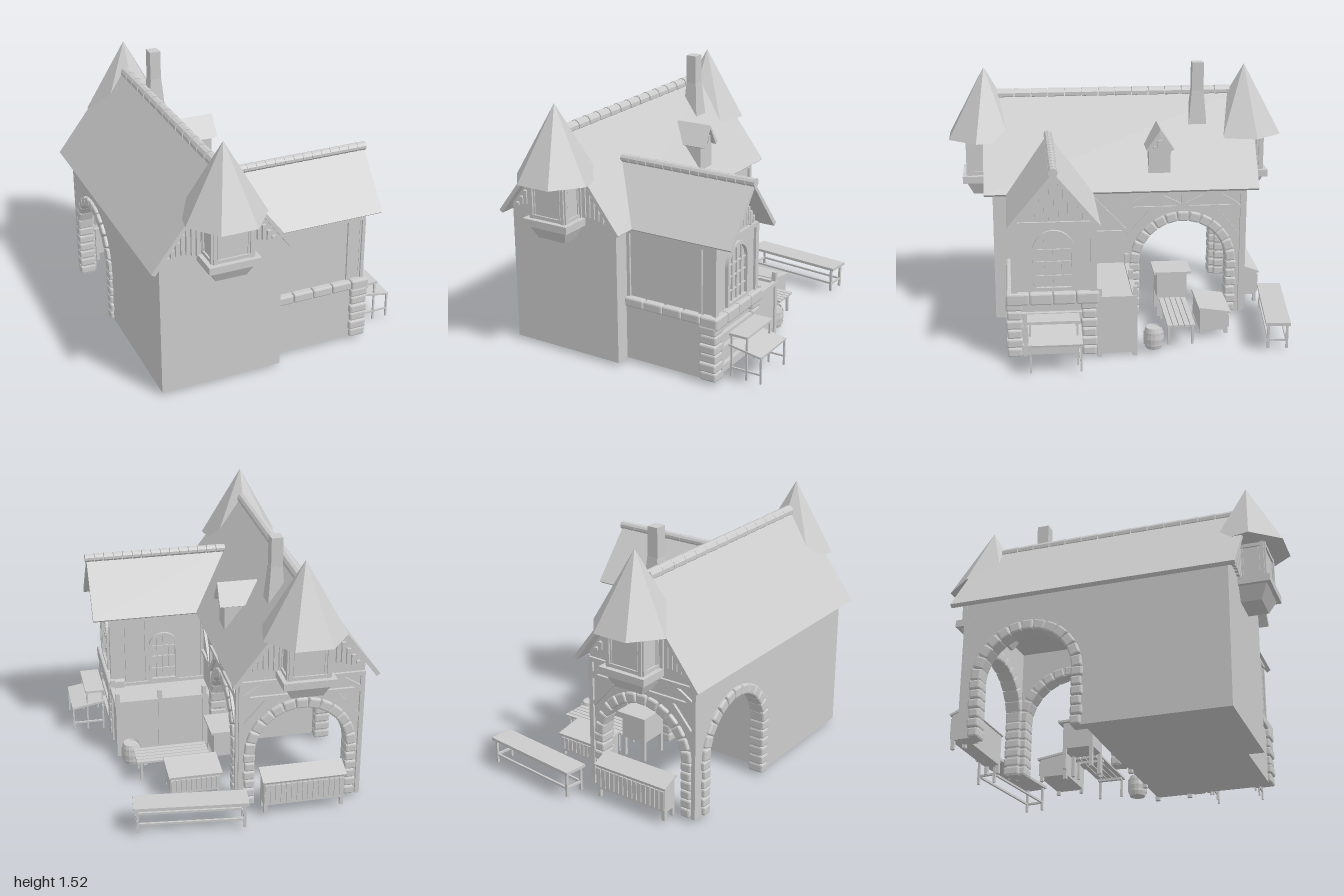
import * as THREE from 'three';
import { RoundedBoxGeometry } from 'three/addons/geometries/RoundedBoxGeometry.js';

const mat = new THREE.MeshStandardMaterial({ color: 0xcccccc, flatShading: true, side: THREE.DoubleSide });

function add(parent, name, geo, x = 0, y = 0, z = 0) {
  const m = new THREE.Mesh(geo, mat);
  m.name = name;
  m.position.set(x, y, z);
  parent.add(m);
  return m;
}
function group(parent, name, x = 0, y = 0, z = 0, ry = 0) {
  const g = new THREE.Group();
  g.name = name;
  g.position.set(x, y, z);
  g.rotation.y = ry;
  parent.add(g);
  return g;
}
// Box given by its limits
const box = (p, name, x0, x1, y0, y1, z0, z1) =>
  add(p, name, new THREE.BoxGeometry(x1 - x0, y1 - y0, z1 - z0), (x0 + x1) / 2, (y0 + y1) / 2, (z0 + z1) / 2);
const stone = (p, x0, x1, y0, y1, z0, z1) =>
  add(p, 'stone', new RoundedBoxGeometry(x1 - x0, y1 - y0, z1 - z0, 1, 0.01), (x0 + x1) / 2, (y0 + y1) / 2, (z0 + z1) / 2);
// Timber lying on a wall, from one point to another in the wall plane
function timber(p, x0, y0, x1, y1, w = 0.025, d = 0.03) {
  const m = add(p, 'timber', new THREE.BoxGeometry(Math.hypot(x1 - x0, y1 - y0), w, d), (x0 + x1) / 2, (y0 + y1) / 2, 0);
  m.rotation.z = Math.atan2(y1 - y0, x1 - x0);
}
// Box whose corners above (or below) the middle are scaled
function taper(p, name, w, h, d, sTop, sBot, x, y, z) {
  const geo = new THREE.BoxGeometry(w, h, d), a = geo.attributes.position;
  for (let i = 0; i < a.count; i++) {
    const s = a.getY(i) > 0 ? sTop : sBot;
    a.setX(i, a.getX(i) * s);
    a.setZ(i, a.getZ(i) * s);
  }
  return add(p, name, geo, x, y, z);
}
const poly = pts => new THREE.Shape(pts.map(q => new THREE.Vector2(...q)));
const extrude = (shape, depth) => new THREE.ExtrudeGeometry(shape, { depth, bevelEnabled: false, curveSegments: 10 });
// Gabled roof running along local z
const gableRoof = (p, name, h, eave, ridge, z0, z1, t = 0.03) => add(p, name,
  extrude(poly([[-h, eave], [0, ridge], [h, eave], [h - 0.02, eave - t / 2], [0, ridge - t], [-h + 0.02, eave - t / 2]]), z1 - z0), 0, 0, z0);
// Row of short round tiles along local z
function ridgeTiles(p, n, y, r, z0, z1) {
  const step = (z1 - z0) / n;
  for (let i = 0; i < n; i++) {
    const geo = new THREE.CylinderGeometry(r, r * 0.92, step * 0.95, 10);
    add(p, 'ridgeTile', geo.rotateX(Math.PI / 2), 0, y, z0 + (i + 0.5) * step);
  }
}
// Uneven upright boards that fill a gable
function gableBoards(p, half, base, apex, n) {
  const w = 2 * half / n;
  for (let i = 0; i < n; i++) {
    const x = -half + (i + 0.5) * w;
    const top = base + (apex - base) * (1 - (Math.abs(x) + w * 0.4) / half);
    const low = base + 0.02 + 0.025 * Math.abs(Math.sin(i * 2.7));
    if (top > low + 0.01) box(p, 'gableBoard', x - w * 0.38, x + w * 0.38, low, top, 0, 0.018);
  }
}
// Outline with a round head
function archPath(C, c, r, y0, spring) {
  const s = new C();
  s.moveTo(c - r, y0);
  s.lineTo(c - r, spring);
  s.absarc(c, spring, r, Math.PI, 0, true);
  s.lineTo(c + r, y0);
  s.closePath();
  return s;
}
// Wall with an open archway edged with stones; outside is local +z
function archWall(p, c, x0, x1, beams) {
  const r = 0.265, spring = 0.345, s = new THREE.Shape();
  s.moveTo(x0, 0.02);
  s.lineTo(c - r, 0.02);
  s.lineTo(c - r, spring);
  s.absarc(c, spring, r, Math.PI, 0, true);
  s.lineTo(c + r, 0.02);
  s.lineTo(x1, 0.02);
  s.lineTo(x1, 0.8);
  s.lineTo(x0, 0.8);
  add(p, 'archWall', extrude(s, 0.07), 0, 0, -0.07);
  for (const k of [-1, 1]) for (let i = 0; i < 6; i++) {
    const a = c + k * (r - 0.004), b = c + k * (r + 0.055 + 0.008 * (i % 2)), y = 0.02 + i * 0.055;
    stone(p, Math.min(a, b), Math.max(a, b), y, y + 0.053, -0.075, 0.02);
  }
  const n = 13;
  for (let i = 0; i < n; i++) {
    const a = Math.PI * (i + 0.5) / n;
    const m = add(p, 'archStone', new RoundedBoxGeometry(0.06, 0.068, 0.095, 1, 0.01),
      c + Math.cos(a) * (r + 0.027), spring + Math.sin(a) * (r + 0.027), -0.0275);
    m.rotation.z = a;
  }
  if (!beams) return;
  timber(p, x0, 0.785, x1, 0.785);
  timber(p, x0, 0.69, x1, 0.69);
  for (const x of [x0 + 0.012, c, x1 - 0.012]) timber(p, x, x === c ? 0.69 : 0.02, x, 0.79);
  for (const k of [-1, 1]) {
    timber(p, c, 0.7, c + k * 0.17, 0.78);
    timber(p, c + k * 0.2, 0.78, c + k * 0.33, 0.7);
    timber(p, c + k * 0.33, 0.52, c + k * 0.19, 0.68);
  }
}
function archWindow(p, c, r, y0, spring) {
  const frame = archPath(THREE.Shape, c, r, y0, spring);
  frame.holes.push(archPath(THREE.Path, c, r - 0.018, y0 + 0.018, spring));
  add(p, 'windowFrame', extrude(frame, 0.02));
  for (const k of [-1, 0, 1]) box(p, 'mullion', c + k * r * 0.42 - 0.004, c + k * r * 0.42 + 0.004, y0, spring + r * (k ? 0.82 : 0.95), 0, 0.01);
  for (const t of [0.35, 0.7, 1]) {
    const y = y0 + (spring - y0) * t;
    box(p, 'mullion', c - r + 0.01, c + r - 0.01, y - 0.004, y + 0.004, 0, 0.01);
  }
}
function legs(p, x0, x1, z0, z1, h, w = 0.014) {
  for (const x of [x0, x1 - w]) for (const z of [z0, z1 - w]) box(p, 'leg', x, x + w, 0.02, h, z, z + w);
}
// Turret with bay window, at the middle of an end wall
function turret(p) {
  add(p, 'turretRoof', new THREE.CylinderGeometry(0, 0.24, 0.42, 7).rotateY(Math.PI / 7), -0.01, 1.28, 0.037);
  box(p, 'bayBody', -0.115, 0.115, 0.84, 1.075, -0.05, 0.145);
  box(p, 'baySill', -0.148, 0.148, 0.81, 0.852, -0.05, 0.178);
  taper(p, 'bayCorbel', 0.25, 0.08, 0.28, 1, 0.72, 0, 0.77, 0.015);
  for (const [x, z, w, ry] of [[0, 0.145, 0.23, 0], [0.115, 0.07, 0.15, Math.PI / 2], [-0.115, 0.07, 0.15, -Math.PI / 2]]) {
    const g = group(p, 'bayWindow', x, 0, z, ry), h = w / 2;
    for (const k of [-1, 1]) {
      timber(g, k * (h - 0.01), 0.85, k * (h - 0.01), 1.07, 0.02, 0.02);
      timber(g, k * (h - 0.03), 0.875, k * (h - 0.03), 1.045, 0.008, 0.012);
    }
    for (const y of [0.865, 1.055]) timber(g, -h, y, h, y, 0.02, 0.02);
  }
}

export function createModel() {
  const root = new THREE.Group();
  root.name = 'timberHouse';

  // Main house: solid half, open arched half, gable prism
  box(root, 'mainBody', -0.73, -0.02, 0.02, 0.8, -0.05, 0.75);
  const main = group(root, 'mainRoof', -0.38);
  add(main, 'gablePrism', extrude(poly([[-0.35, 0.78], [0.36, 0.78], [0.36, 0.85], [0, 1.315], [-0.35, 0.85]]), 1.5), 0, 0, -0.75);
  gableRoof(main, 'roof', 0.41, 0.81, 1.345, -0.83, 0.8);
  ridgeTiles(main, 14, 1.322, 0.034, -0.71, 0.71);
  const right = group(root, 'rightArch', -0.02, 0, 0, Math.PI / 2);
  archWall(right, 0.38, 0.05, 0.75, true);
  archWall(group(root, 'leftArch', -0.73, 0, 0, -Math.PI / 2), -0.38, -0.75, -0.05, false);
  archWall(group(root, 'backArch', 0, 0, -0.75, Math.PI), 0.375, 0.02, 0.73, true);
  timber(right, -0.18, 0.78, 0.03, 0.56);
  timber(right, -0.18, 0.545, 0.03, 0.545);
  for (const k of [1, -1]) {
    const ry = k > 0 ? 0 : Math.PI;
    gableBoards(group(root, 'gable', -0.38, 0, k * 0.75, ry), 0.35, 0.82, 1.3, 24);
    turret(group(root, 'turret', -0.37, 0, k * 0.75, ry));
  }

  // Chimney and dormer
  box(root, 'chimneyStack', -0.31, -0.245, 1.34, 1.52, -0.525, -0.455);
  taper(root, 'chimneyBase', 0.1, 0.22, 0.11, 0.66, 1, -0.277, 1.24, -0.49);
  const dormer = group(root, 'dormer', 0, 0, -0.24, Math.PI / 2);
  add(dormer, 'dormerBody', extrude(poly([[-0.065, 0.9], [0.065, 0.9], [0.065, 1.05], [0, 1.14], [-0.065, 1.05]]), 0.16), 0, 0, -0.2);
  gableRoof(dormer, 'dormerRoof', 0.083, 1.05, 1.17, -0.24, -0.01, 0.02);
  gableBoards(group(dormer, 'dormerGable', 0, 0, -0.04), 0.06, 1.02, 1.14, 6);

  // Side wing
  box(root, 'wingBase', -0.03, 0.54, 0.02, 0.37, 0.18, 0.66);
  box(root, 'wingUpper', -0.03, 0.54, 0.36, 0.8, 0.19, 0.64);
  const wing = group(root, 'wingRoof', 0, 0, 0.415, Math.PI / 2);
  add(wing, 'wingGable', extrude(poly([[-0.225, 0.79], [0.225, 0.79], [0, 1.075]]), 0.74), 0, 0, -0.2);
  gableRoof(wing, 'roof', 0.255, 0.81, 1.115, -0.2, 0.65);
  ridgeTiles(wing, 15, 1.115, 0.026, -0.2, 0.66);
  const face = group(root, 'wingFace', 0.54, 0, 0.415, Math.PI / 2);
  gableBoards(face, 0.235, 0.79, 1.09, 18);
  archWindow(face, 0, 0.115, 0.41, 0.645);
  for (const k of [-1, 1]) timber(face, k * 0.215, 0.4, k * 0.215, 0.8);
  timber(face, -0.23, 0.795, 0.23, 0.795);
  for (const [z, ry, k] of [[0.64, 0, 1], [0.19, Math.PI, -1]]) {
    const g = group(root, 'wingSide', 0, 0, z, ry);
    for (const x of [-0.01, 0.455, 0.545]) timber(g, k * x, 0.38, k * x, 0.8, 0.02, 0.025);
    timber(g, k * -0.02, 0.79, k * 0.55, 0.79);
    if (k < 0) {
      archWindow(g, -0.23, 0.09, 0.37, 0.6);
      timber(g, -0.33, 0.38, -0.33, 0.79);
    }
  }
  // Wing stonework
  for (let i = 0; i < 6; i++) for (const z of [0.18, 0.6]) {
    const y = 0.02 + i * 0.055, e = 0.006 * (i % 2);
    stone(root, 0.47 - e, 0.57, y, y + 0.053, z - e, z + 0.08 + e);
  }
  for (let i = 0; i < 4; i++) {
    stone(root, -0.02 + i * 0.1225, 0.1 + i * 0.1225, 0.345, 0.4, 0.61, 0.68);
    stone(root, 0.47, 0.578, 0.33, 0.4, 0.165 + i * 0.13, 0.293 + i * 0.13);
  }
  for (const y of [0.07, 0.18, 0.26]) box(root, 'shopShelf', 0.53, 0.565, y, y + 0.02, 0.26, 0.6);
  for (const z of [0.27, 0.57]) box(root, 'shopPost', 0.53, 0.56, 0.02, 0.28, z, z + 0.02);

  // Terrace with corner posts and low rail
  box(root, 'terrace', -0.03, 0.55, 0.02, 0.35, -0.04, 0.19);
  for (const x of [0.01, 0.28, 0.535]) box(root, 'terracePost', x, x + 0.025, 0, 0.42, -0.05, -0.025);
  box(root, 'terracePost', 0.535, 0.56, 0, 0.41, 0.15, 0.175);
  box(root, 'terraceRail', 0, 0.56, 0.34, 0.365, -0.05, -0.025);
  box(root, 'terraceRail', 0.54, 0.565, 0.34, 0.365, -0.05, 0.17);

  // Stepped stall in front of the wing
  const stall = group(root, 'stall');
  box(stall, 'upperShelf', 0.59, 0.705, 0.272, 0.286, 0.28, 0.57);
  box(stall, 'lowerShelf', 0.585, 0.79, 0.188, 0.2, 0.27, 0.565).rotation.z = -0.17;
  legs(stall, 0.595, 0.7, 0.29, 0.56, 0.275, 0.01);
  legs(stall, 0.595, 0.788, 0.275, 0.56, 0.185, 0.01);
  for (const z of [0.275, 0.55]) box(stall, 'sideRail', 0.595, 0.785, 0.07, 0.08, z, z + 0.01);

  // Cabinet and slatted table by the right arch
  const cabinet = group(root, 'cabinet');
  box(cabinet, 'cabinetBox', -0.12, 0.04, 0.14, 0.295, -0.4, -0.22);
  box(cabinet, 'cabinetTop', -0.14, 0.06, 0.295, 0.308, -0.425, -0.2);
  legs(cabinet, -0.12, 0.04, -0.4, -0.22, 0.15, 0.02);
  const table = group(root, 'slattedTable');
  for (let i = 0; i < 5; i++) box(table, 'slat', 0.06, 0.49, 0.135, 0.147, -0.39 + i * 0.033, -0.362 + i * 0.033);
  for (const x of [0.1, 0.43]) box(table, 'crossBar', x, x + 0.02, 0.12, 0.135, -0.385, -0.235);
  legs(table, 0.08, 0.47, -0.385, -0.235, 0.13);

  // Chests with sloping lids
  function chest(p, w, d, y0, hBack, hFront) {
    const geo = extrude(poly([[0, y0], [d, y0], [d, hFront], [0, hBack]]), w).rotateY(-Math.PI / 2);
    add(p, 'chestBody', geo, w / 2, 0, 0);
    const lid = box(p, 'chestLid', -w / 2 - 0.01, w / 2 + 0.01, 0, 0.012, -0.01, d + 0.015);
    lid.position.y = (hBack + hFront) / 2 + 0.006;
    lid.rotation.x = Math.atan2(hBack - hFront, d);
    const n = Math.round(w / 0.03);
    for (let i = 0; i < n; i++) box(p, 'chestBoard', -w / 2 + (i + 0.1) * w / n, -w / 2 + (i + 0.9) * w / n, y0 + 0.015, hFront - 0.015, d, d + 0.008);
    legs(p, -w / 2, w / 2, 0, d, y0 + 0.01, 0.02);
  }
  chest(group(root, 'sideChest', 0.19, 0, -0.44, Math.PI), 0.29, 0.165, 0.045, 0.175, 0.15);
  chest(group(root, 'backChest', -0.375, 0, -0.775, Math.PI), 0.46, 0.09, 0.07, 0.25, 0.215);

  // Barrel
  const barrel = group(root, 'barrel', 0.49, 0.02, -0.15);
  const profile = [[0, 0], [0.046, 0], [0.056, 0.035], [0.059, 0.062], [0.056, 0.09], [0.046, 0.125], [0.042, 0.115], [0, 0.115]];
  add(barrel, 'barrelBody', new THREE.LatheGeometry(profile.map(q => new THREE.Vector2(...q)), 16));
  for (const y of [0.03, 0.095]) add(barrel, 'hoop', new THREE.CylinderGeometry(0.058, 0.058, 0.012, 16, 1, true), 0, y, 0);

  // Long bench behind the house
  const bench = group(root, 'bench', 0.274, 0, -0.885, -0.11);
  box(bench, 'benchSeat', -0.315, 0.315, 0.163, 0.18, -0.07, 0.07);
  legs(bench, -0.3, 0.3, -0.06, 0.06, 0.165);
  for (const z of [-0.058, 0.046]) box(bench, 'benchRail', -0.3, 0.3, 0.065, 0.077, z, z + 0.012);
  for (const x of [-0.3, 0.288]) box(bench, 'benchRail', x, x + 0.012, 0.065, 0.077, -0.06, 0.06);

  return root;
}
